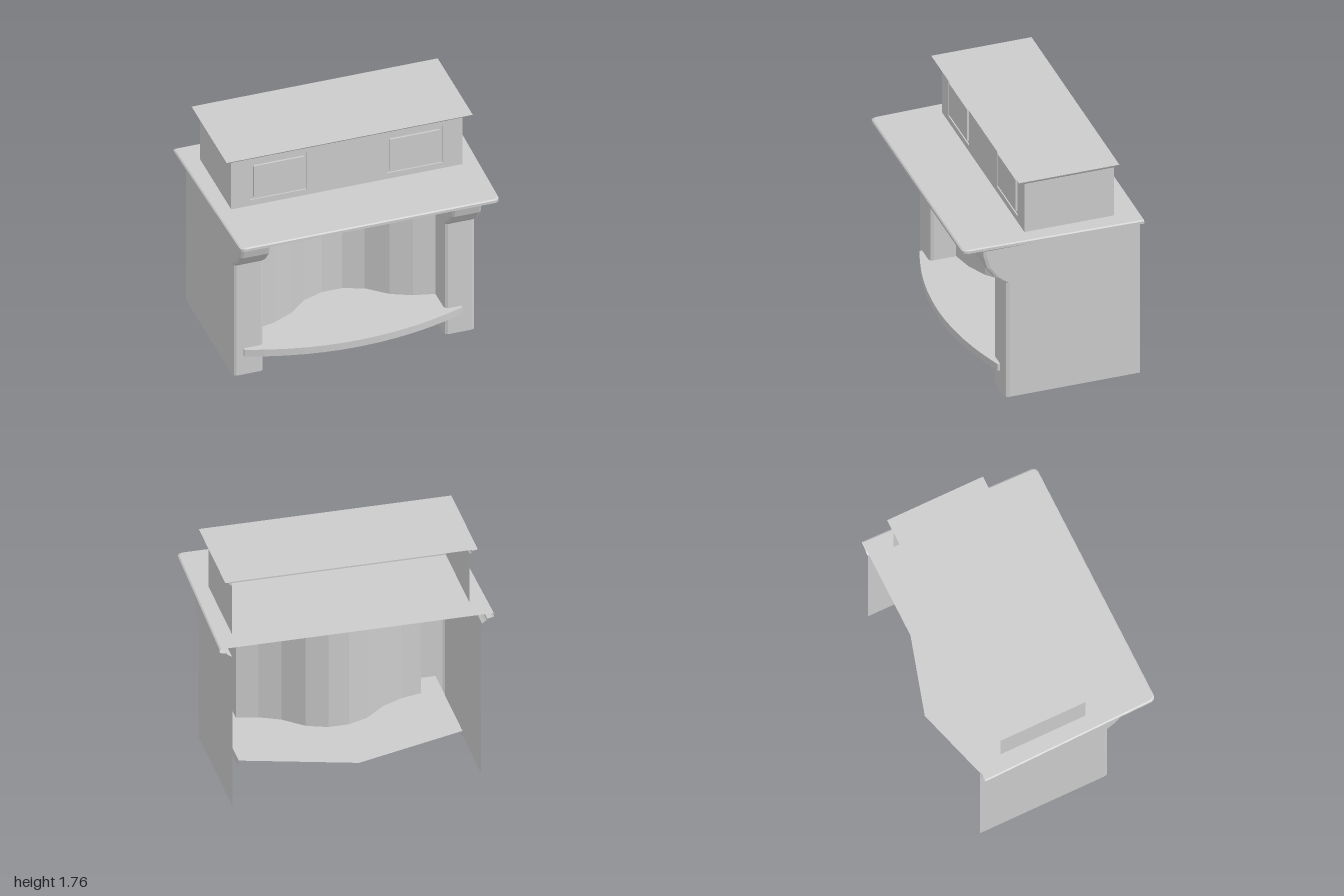
import * as THREE from 'three';

const mat = new THREE.MeshStandardMaterial({ color: 0xcccccc, flatShading: true, side: THREE.DoubleSide });

function add(parent, name, geometry) {
  const mesh = new THREE.Mesh(geometry, mat);
  mesh.name = name;
  parent.add(mesh);
  return mesh;
}

// Open sheet through a list of equally long rows of [x, y, z] points
function loft(rows) {
  const n = rows[0].length, index = [];
  for (let r = 0; r < rows.length - 1; r++) {
    for (let i = 0; i < n - 1; i++) {
      const a = r * n + i, b = a + 1, c = a + n, d = c + 1;
      index.push(a, c, b, b, c, d);
    }
  }
  const g = new THREE.BufferGeometry();
  g.setAttribute('position', new THREE.Float32BufferAttribute(rows.flat(2), 3));
  g.setIndex(index);
  const flat = g.toNonIndexed();
  flat.computeVertexNormals();
  return flat;
}

// Horizontal sheet facing up, outlined by [x, z] points
function sheet(points, y) {
  const shape = new THREE.Shape(points.map(([x, z]) => new THREE.Vector2(x, -z)));
  return new THREE.ShapeGeometry(shape).rotateX(-Math.PI / 2).translate(0, y, 0);
}

// U-shaped outline, open at the back, with rounded front corners of radius r
function outline(xBack, xFront, zFront, zBack, r) {
  const half = [[xBack, zBack]];
  if (r === 0) half.push([xFront, zFront]);
  else for (let i = 0; i <= 4; i++) {
    const a = i * Math.PI / 8;
    half.push([xFront - r + r * Math.cos(a), zFront - r + r * Math.sin(a)]);
  }
  return [...half, ...half.map(([x, z]) => [-x, z]).reverse()];
}

const at = (points, y) => points.map(([x, z]) => [x, y, z]);

export function createModel() {
  const model = new THREE.Group();
  model.name = 'counterDesk';

  // Side panels, each running round a front post that swells into a corbel
  const postRows = [[0, 0.34], [0.94, 0.34], [1.0, 0.415], [1.09, 0.48], [1.19, 0.508], [1.25, 0.512]];
  for (const s of [1, -1]) {
    const rows = postRows.map(([y, z]) => at([
      [s * 0.905, -0.67], [s * 0.905, z - 0.032], [s * 0.898, z - 0.01], [s * 0.88, z],
      [s * 0.7, z], [s * 0.682, z - 0.01], [s * 0.675, z - 0.032], [s * 0.675, 0.14],
    ], y));
    add(model, s > 0 ? 'leftSideAndPost' : 'rightSideAndPost', loft(rows));
  }

  // Curved panel between the posts
  const bend = [[0.675, 0.14], [0.52, 0.105], [0.37, 0.035], [0.225, -0.09], [0.075, -0.145]];
  const curve = [...bend.map(([x, z]) => [-x, z]), ...bend.slice().reverse()];
  add(model, 'curvedFrontPanel', loft([at(curve, 1.31), at(curve, 0)]));

  // Foot shelf with a bowed front rim and a pointed back
  const rim = [[0.8, -0.43]];
  for (let i = 0; i <= 12; i++) {
    const t = 1 - i / 6;
    rim.push([-0.015 + 0.815 * t, 0.36 + 0.15 * (1 - t * t)]);
  }
  rim.push([-0.83, -0.43]);
  add(model, 'footShelfTop', sheet([...rim, [-0.015, -0.67]], 0.222));
  add(model, 'footShelfRim', loft([at(rim, 0.222), at(rim, 0.165)]));

  // Countertop with moulding below: [y, xBack, xFront, zFront]
  const counter = [
    [1.312, 0.99, 0.96, 0.67], [1.305, 1.0, 0.97, 0.68], [1.285, 1.0, 0.97, 0.68], [1.278, 0.985, 0.955, 0.66],
    [1.272, 0.95, 0.94, 0.6], [1.262, 0.945, 0.935, 0.58], [1.25, 0.93, 0.925, 0.535], [1.238, 0.91, 0.908, 0.515],
  ];
  const counterOutline = ([, xb, xf, zf]) => outline(xb, xf, zf, -0.67, 0.04);
  add(model, 'countertop', sheet(counterOutline(counter[0]), 1.312));
  add(model, 'countertopMoulding', loft(counter.map((r) => at(counterOutline(r), r[0]))));

  // Upper cabinet: side walls and a front with two panel openings
  for (const s of [1, -1]) {
    const wall = [[s * 0.865, -0.49], [s * 0.865, 0.18]];
    add(model, s > 0 ? 'cabinetLeftWall' : 'cabinetRightWall', loft([at(wall, 1.72), at(wall, 1.25)]));
  }
  const rect = (x0, y0, x1, y1, Type) => new Type([[x0, y0], [x1, y0], [x1, y1], [x0, y1]]
    .map(([x, y]) => new THREE.Vector2(x, y)));
  const front = rect(-0.865, 1.25, 0.865, 1.72, THREE.Shape);
  const ring = (cx, w, h, z) => [[-1, -1], [1, -1], [1, 1], [-1, 1], [-1, -1]]
    .map(([a, b]) => [cx + a * w, 1.515 + b * h, z]);
  for (const cx of [-0.51, 0.505]) {
    front.holes.push(rect(cx - 0.21, 1.36, cx + 0.21, 1.67, THREE.Path));
    // Sunk groove around a slightly raised field
    add(model, 'cabinetPanelGroove', loft([
      ring(cx, 0.21, 0.155, 0.18), ring(cx, 0.21, 0.155, 0.17),
      ring(cx, 0.188, 0.13, 0.17), ring(cx, 0.188, 0.13, 0.185),
    ]));
    add(model, 'cabinetPanelField', new THREE.PlaneGeometry(0.376, 0.26).translate(cx, 1.515, 0.185));
  }
  add(model, 'cabinetFront', new THREE.ShapeGeometry(front).translate(0, 0, 0.18));

  // Cornice around the cabinet top: [y, x, zFront, zBack]
  const cornice = [
    [1.758, 0.92, 0.24, -0.512], [1.752, 0.915, 0.235, -0.51], [1.742, 0.885, 0.2, -0.5],
    [1.736, 0.885, 0.2, -0.5], [1.725, 0.88, 0.195, -0.495], [1.71, 0.865, 0.18, -0.49],
  ];
  const corniceOutline = ([, x, zf, zb]) => outline(x, x, zf, zb, 0);
  add(model, 'cabinetTop', sheet(corniceOutline(cornice[0]), 1.758));
  add(model, 'cabinetCornice', loft(cornice.map((r) => at(corniceOutline(r), r[0]))));

  return model;
}
